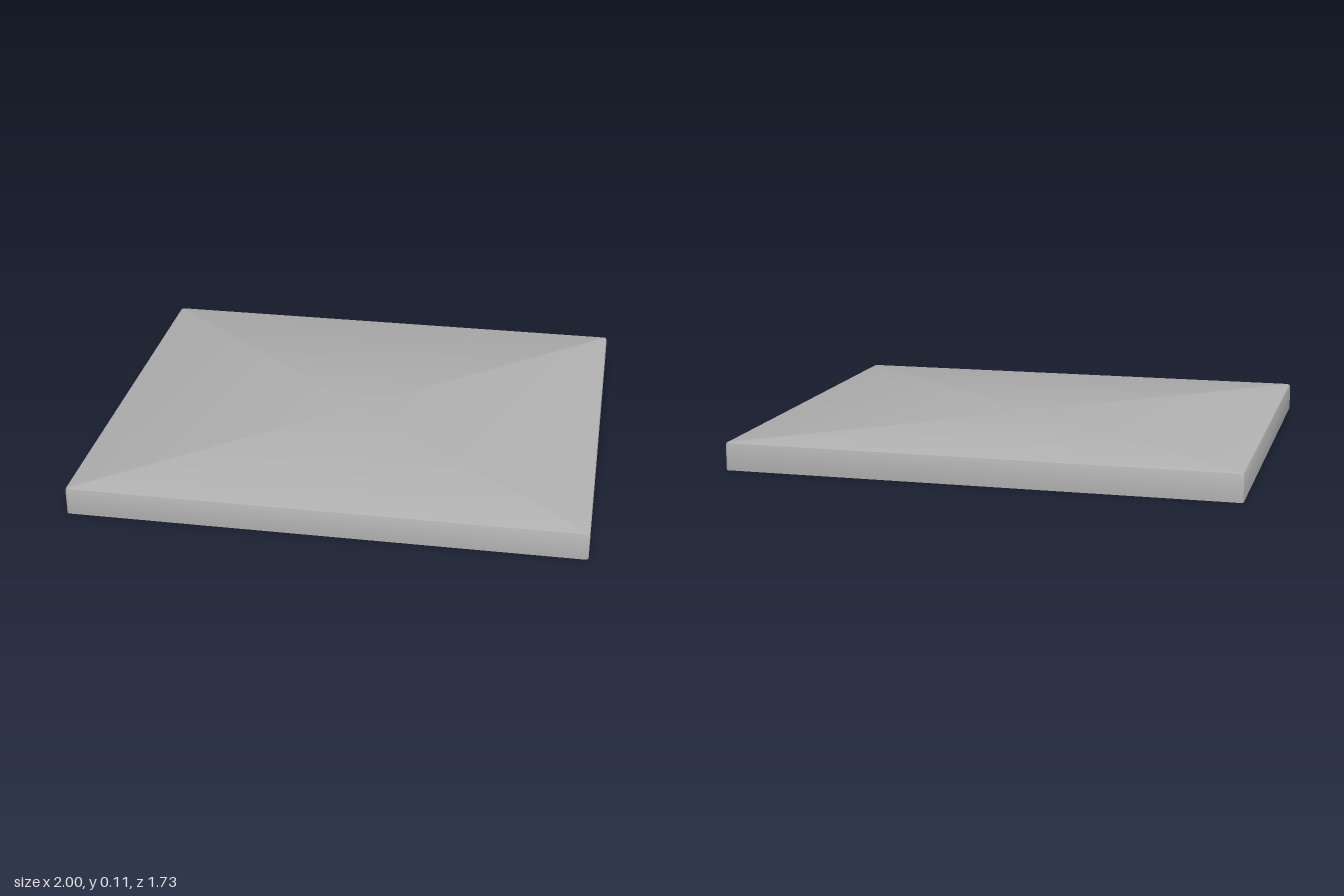
import * as THREE from 'three';
import { toCreasedNormals } from 'three/addons/utils/BufferGeometryUtils.js';

const HX = 1, HZ = 0.865, H = 0.11, WALL = 0.02;
const CEILING = 0.104, PLATE = 0.014;

// Rounded-rectangle outline, inset from the outer size
function outline(inset, y, scale = 1) {
  const r = 0.012, points = [];
  for (let q = 0; q < 4; q++) {
    const sx = q === 0 || q === 3 ? 1 : -1, sz = q < 2 ? 1 : -1;
    for (let k = 0; k <= 3; k++) {
      const a = (q + k / 3) * Math.PI / 2;
      points.push(new THREE.Vector3(
        (sx * (HX - inset - r) + r * Math.cos(a)) * scale, y,
        (sz * (HZ - inset - r) + r * Math.sin(a)) * scale));
    }
  }
  return points;
}

// Skin consecutive outlines into one surface
function loft(rings) {
  const positions = [];
  for (let i = 0; i + 1 < rings.length; i++) {
    const lower = rings[i], upper = rings[i + 1], n = lower.length;
    for (let j = 0; j < n; j++) {
      const k = (j + 1) % n;
      for (const p of [lower[j], upper[j], lower[k], lower[k], upper[j], upper[k]]) positions.push(p.x, p.y, p.z);
    }
  }
  const geometry = new THREE.BufferGeometry();
  geometry.setAttribute('position', new THREE.Float32BufferAttribute(positions, 3));
  return toCreasedNormals(geometry, 0.6);
}

// Trim a polygon to one side of an axis-aligned line
function clip(points, axis, sign, limit) {
  const result = [];
  points.forEach((a, i) => {
    const b = points[(i + 1) % points.length];
    const da = limit - sign * a[axis], db = limit - sign * b[axis];
    if (da >= 0) result.push(a);
    if (da * db < 0) result.push(a.clone().lerp(b, da / (da - db)));
  });
  return result;
}

// Plate with hexagonal pockets trimmed to a rectangular field
function honeycomb() {
  const w = HX - WALL, d = HZ - WALL, pitch = 0.2, rib = 0.024;
  const radius = (pitch - rib) / Math.sqrt(3);
  const shape = new THREE.Shape([[-w, -d], [w, -d], [w, d], [-w, d]].map(p => new THREE.Vector2(...p)));
  for (let col = -6; col <= 6; col++) {
    for (let row = -5; row <= 5; row++) {
      const cx = col * pitch * Math.sqrt(3) / 2, cz = (row + (col % 2 ? 0.5 : 0)) * pitch;
      let hex = [];
      for (let k = 0; k < 6; k++) {
        const a = k * Math.PI / 3;
        hex.push(new THREE.Vector2(cx + radius * Math.cos(a), cz + radius * Math.sin(a)));
      }
      for (const sign of [-1, 1]) {
        hex = clip(hex, 'x', sign, 0.88);
        hex = clip(hex, 'y', sign, 0.75);
      }
      if (hex.length > 2 && Math.abs(THREE.ShapeUtils.area(hex)) > 0.001) shape.holes.push(new THREE.Path(hex));
    }
  }
  const geometry = new THREE.ExtrudeGeometry(shape, { depth: PLATE, bevelEnabled: false });
  return geometry.rotateX(Math.PI / 2).translate(0, CEILING, 0);
}

export function createModel() {
  const model = new THREE.Group();
  model.name = 'lid';
  const grey = new THREE.MeshStandardMaterial({ color: 0xb2b2b2 });
  grey.name = 'grey';
  const add = (name, geometry) => {
    const mesh = new THREE.Mesh(geometry, grey);
    mesh.name = name;
    model.add(mesh);
    return mesh;
  };

  // Hollow lid: ceiling, inner wall, rim, outer wall, softened top edge, top
  add('shell', loft([
    outline(WALL, CEILING, 0), outline(WALL, CEILING), outline(WALL, 0), outline(0, 0),
    outline(0, H - 0.01), outline(0.003, H - 0.003), outline(0.01, H), outline(0.01, H, 0),
  ]));

  // Pocketed underside
  add('honeycomb', honeycomb());

  // Small snap bumps inside the long walls
  for (const side of [-1, 1]) {
    for (const x of [-0.73, 0, 0.73]) {
      add('snapBump', new THREE.SphereGeometry(0.014, 16, 10)).position.set(x, 0.045, side * (HZ - WALL));
    }
  }
  return model;
}
